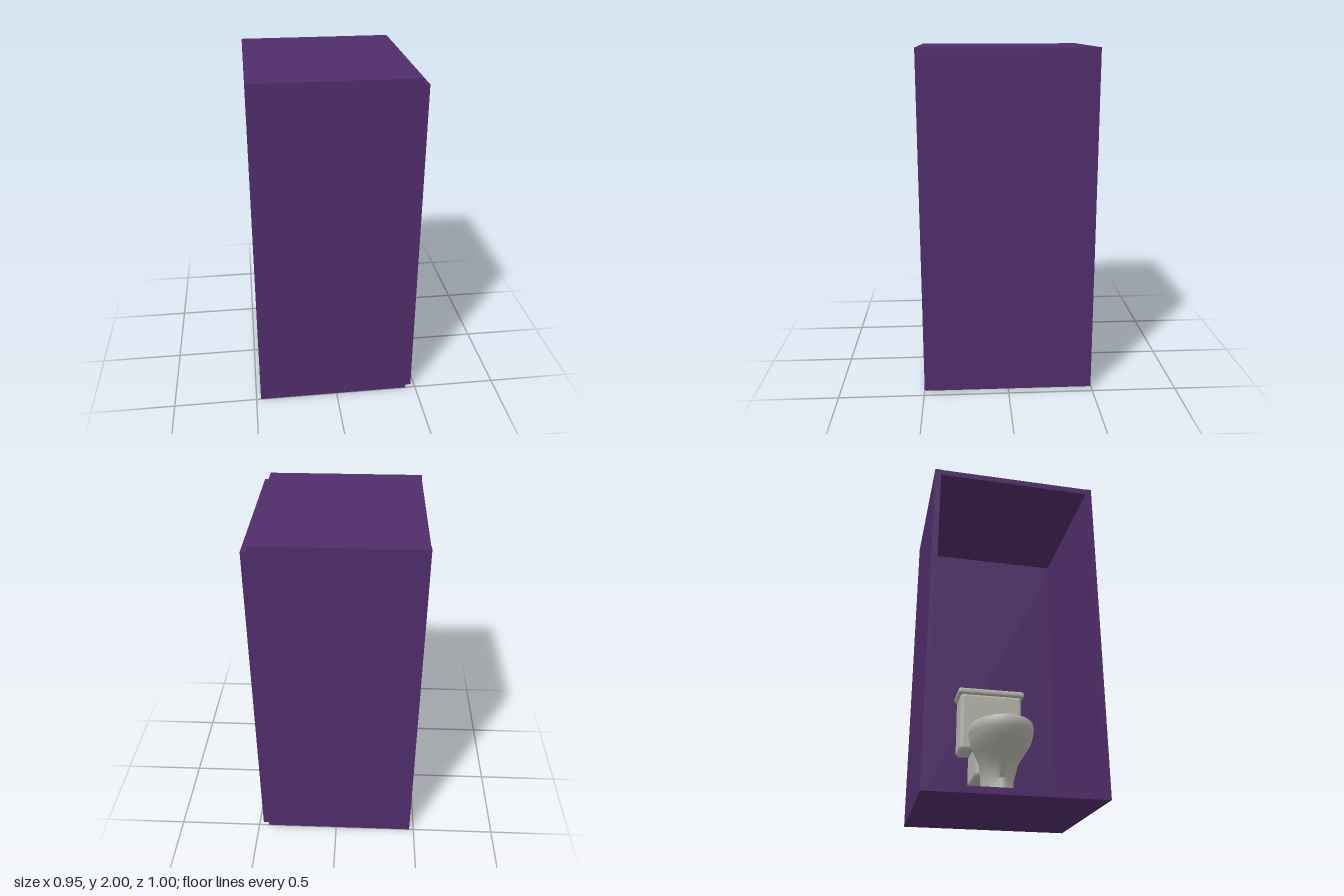
import * as THREE from 'three';
import { toCreasedNormals } from 'three/addons/utils/BufferGeometryUtils.js';
import { RoundedBoxGeometry } from 'three/addons/geometries/RoundedBoxGeometry.js';

const purple = new THREE.MeshStandardMaterial({ name: 'purple panel', color: 0x502d6b });
const ceramic = new THREE.MeshStandardMaterial({ name: 'grey ceramic', color: 0xb6b6ae });

// Box given by its lower and upper limits on each axis
function box(name, [x0, x1], [y0, y1], [z0, z1], material, radius = 0) {
  const size = [x1 - x0, y1 - y0, z1 - z0];
  const geometry = radius ? new RoundedBoxGeometry(...size, 3, radius) : new THREE.BoxGeometry(...size);
  const mesh = new THREE.Mesh(geometry, material);
  mesh.position.set((x0 + x1) / 2, (y0 + y1) / 2, (z0 + z1) / 2);
  mesh.name = name;
  return mesh;
}

// Skin over oval sections [y, centre x, half length, half width]
function loft(name, sections, material, sides = 48) {
  const positions = [], index = [];
  for (const [y, cx, a, b] of sections) {
    for (let j = 0; j < sides; j++) {
      const t = (j / sides) * Math.PI * 2;
      positions.push(cx + a * Math.cos(t), y, b * Math.sin(t));
    }
  }
  for (let i = 0; i < sections.length - 1; i++) {
    for (let j = 0; j < sides; j++) {
      const p = i * sides + j, q = i * sides + (j + 1) % sides;
      index.push(p, p + sides, q, q, p + sides, q + sides);
    }
  }
  const geometry = new THREE.BufferGeometry();
  geometry.setAttribute('position', new THREE.Float32BufferAttribute(positions, 3));
  geometry.setIndex(index);
  const mesh = new THREE.Mesh(toCreasedNormals(geometry, 0.7), material);
  mesh.name = name;
  return mesh;
}

export function createModel() {
  const model = new THREE.Group();
  model.name = 'toiletCubicle';

  // Cubicle shell, open on the -x side
  const shell = new THREE.Group();
  shell.name = 'cubicle';
  shell.add(
    box('frontWall', [-0.473, 0.438], [0, 2], [0.463, 0.5], purple),
    box('backWall', [-0.473, 0.438], [0, 2], [-0.5, -0.463], purple),
    box('roof', [-0.47, 0.438], [1.963, 2], [-0.463, 0.463], purple),
    box('floor', [-0.47, 0.438], [0, 0.037], [-0.463, 0.463], purple),
    box('endPanel', [0.436, 0.473], [0.015, 1.963], [-0.49, 0.49], purple),
  );

  // Toilet against the end panel, facing the opening
  const toilet = new THREE.Group();
  toilet.name = 'toilet';
  toilet.add(
    loft('bowl', [
      [0.037, 0.08, 0.19, 0.12], [0.06, 0.08, 0.19, 0.12], [0.09, 0.08, 0.165, 0.1],
      [0.2, 0.07, 0.14, 0.095], [0.3, 0.02, 0.155, 0.115], [0.35, -0.015, 0.19, 0.145],
      [0.4, -0.04, 0.225, 0.175], [0.44, -0.05, 0.235, 0.185], [0.44, -0.05, 0.17, 0.125],
      [0.38, -0.045, 0.155, 0.115], [0.31, -0.03, 0.1, 0.075], [0.28, -0.02, 0.001, 0.001],
    ], ceramic),
    loft('seat', [
      [0.44, -0.05, 0.165, 0.12], [0.44, -0.05, 0.23, 0.18], [0.455, -0.05, 0.238, 0.188],
      [0.49, -0.05, 0.24, 0.19], [0.508, -0.05, 0.232, 0.182], [0.515, -0.05, 0.215, 0.165],
      [0.508, -0.05, 0.185, 0.138], [0.495, -0.05, 0.17, 0.125], [0.44, -0.05, 0.165, 0.12],
    ], ceramic),
    box('bowlBack', [0.12, 0.435], [0.25, 0.46], [-0.12, 0.12], ceramic, 0.03),
    box('tank', [0.24, 0.435], [0.45, 0.83], [-0.2, 0.2], ceramic, 0.025),
    box('tankLid', [0.225, 0.435], [0.82, 0.86], [-0.215, 0.215], ceramic, 0.015),
  );

  model.add(shell, toilet);
  return model;
}
